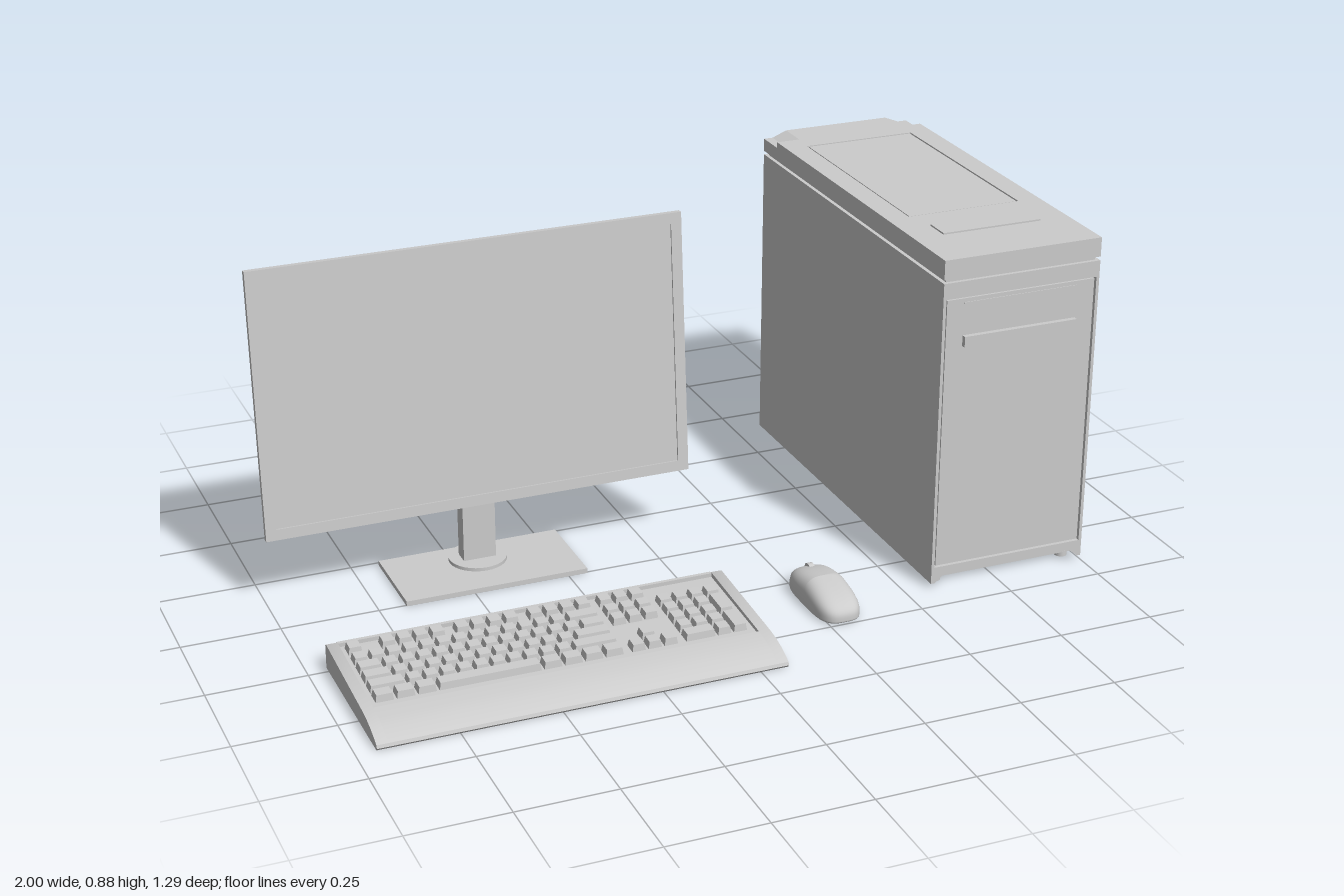
import * as THREE from 'three';
import { toCreasedNormals } from 'three/addons/utils/BufferGeometryUtils.js';

const grey = new THREE.MeshStandardMaterial({ color: 0xcccccc });

function add(parent, name, geometry) {
  const mesh = new THREE.Mesh(geometry, grey);
  mesh.name = name;
  parent.add(mesh);
  return mesh;
}

// Box given by its limits on each axis
function box(parent, name, x0, x1, y0, y1, z0, z1) {
  const mesh = add(parent, name, new THREE.BoxGeometry(x1 - x0, y1 - y0, z1 - z0));
  mesh.position.set((x0 + x1) / 2, (y0 + y1) / 2, (z0 + z1) / 2);
  return mesh;
}

function cylinder(parent, name, radius, x, y0, y1, z) {
  const mesh = add(parent, name, new THREE.CylinderGeometry(radius, radius, y1 - y0, 32));
  mesh.position.set(x, (y0 + y1) / 2, z);
  return mesh;
}

const polygon = (points) => new THREE.Shape(points.map(([x, y]) => new THREE.Vector2(x, y)));
const rect = (x0, x1, y0, y1) => polygon([[x0, y0], [x1, y0], [x1, y1], [x0, y1]]);

// Flat plate along z with rectangular openings
function plate(shape, holes, z0, z1) {
  holes.forEach((h) => shape.holes.push(rect(...h)));
  return new THREE.ExtrudeGeometry(shape, { depth: z1 - z0, bevelEnabled: false }).translate(0, 0, z0);
}

function createMonitor() {
  const monitor = new THREE.Group();
  monitor.name = 'monitor';
  // Display leans back slightly around its lower edge
  const display = new THREE.Group();
  display.name = 'display';
  display.position.set(-0.44, 0.19, -0.112);
  display.rotation.x = -0.08;
  monitor.add(display);
  add(display, 'bezel', plate(rect(-0.56, 0.56, 0, 0.69), [[-0.532, 0.532, 0.028, 0.662]], 0, 0.016));
  box(display, 'screen', -0.534, 0.534, 0.026, 0.664, 0.001, 0.011);
  box(display, 'rearHousing', -0.24, 0.24, 0.06, 0.4, -0.077, 0.002);
  // Stand
  box(monitor, 'standBase', -0.68, -0.2, 0, 0.013, -0.235, 0.005);
  cylinder(monitor, 'standCollar', 0.075, -0.44, 0.01, 0.022, -0.155);
  box(monitor, 'standNeck', -0.483, -0.397, 0.01, 0.32, -0.178, -0.135);
  return monitor;
}

function createTower() {
  const tower = new THREE.Group();
  tower.name = 'tower';
  box(tower, 'case', 0.57, 1, 0.012, 0.82, -0.615, 0.38);

  // Front frame, notched at the bottom, around an inset door
  const front = polygon([[0.57, 0.012], [0.58, 0.012], [0.625, 0.05], [0.945, 0.05], [0.99, 0.012],
    [1, 0.012], [1, 0.82], [0.57, 0.82]]);
  add(tower, 'frontFrame', plate(front, [[0.578, 0.992, 0.056, 0.778]], 0.38, 0.41));
  box(tower, 'frontDoor', 0.582, 0.988, 0.06, 0.774, 0.375, 0.407);
  box(tower, 'driveFlap', 0.628, 0.938, 0.65, 0.678, 0.4, 0.42);
  box(tower, 'doorGroove', 0.628, 0.938, 0.76, 0.764, 0.4, 0.409);

  // Back frame around a sunken panel with a socket near the floor
  const back = rect(0.57, 1, 0.012, 0.82);
  add(tower, 'backFrame', plate(back, [[0.64, 0.932, 0.045, 0.81]], -0.645, -0.615));
  add(tower, 'backPanel', plate(rect(0.635, 0.937, 0.04, 0.815), [[0.71, 0.9, 0.09, 0.195]], -0.63, -0.614));

  // Lid above a narrow shadow gap
  const lid = new THREE.Group();
  lid.name = 'lid';
  tower.add(lid);
  box(lid, 'lidGap', 0.58, 0.99, 0.815, 0.835, -0.635, 0.4);
  box(lid, 'lidBody', 0.57, 1, 0.83, 0.876, -0.56, 0.41);
  const top = plate(rect(0.57, 1, -0.41, 0.56), [[0.63, 0.94, -0.1, 0.5]], 0.876, 0.88);
  add(lid, 'lidTop', top.rotateX(-Math.PI / 2));
  box(lid, 'lidInset', 0.634, 0.936, 0.87, 0.879, -0.496, 0.096);
  box(lid, 'lidButtonBar', 0.65, 0.92, 0.875, 0.884, 0.178, 0.248);
  // Rear end drops at both corners
  const rear = polygon([[0.57, 0.83], [1, 0.83], [1, 0.864], [0.975, 0.864], [0.935, 0.88],
    [0.635, 0.88], [0.595, 0.864], [0.57, 0.864]]);
  add(lid, 'lidRear', plate(rear, [], -0.645, -0.56));

  for (const x of [0.602, 0.968]) {
    for (const z of [-0.605, 0.365]) cylinder(tower, 'foot', 0.016, x, 0, 0.015, z);
  }
  return tower;
}

// Side profile (z, y) swept along x
function sweep(parent, name, profile, x0, x1) {
  const geometry = plate(polygon(profile), [], 0, x1 - x0);
  geometry.rotateY(-Math.PI / 2).translate(x1, 0, 0);
  return add(parent, name, toCreasedNormals(geometry, 0.5));
}

function createKeyboard() {
  const keyboard = new THREE.Group();
  keyboard.name = 'keyboard';
  const rest = [[0.23, 0], [0.64, 0], [0.645, 0.006], [0.642, 0.014], [0.63, 0.021],
    [0.6, 0.033], [0.57, 0.041], [0.53, 0.046]];
  sweep(keyboard, 'body', [...rest, [0.525, 0.037], [0.24, 0.054], [0.23, 0.054]], -0.922, 0.042);
  for (const [x0, x1] of [[-0.95, -0.922], [0.042, 0.07]]) {
    sweep(keyboard, 'sideRail', [...rest, [0.24, 0.066], [0.23, 0.062]], x0, x1);
  }
  box(keyboard, 'rearRail', -0.922, 0.042, 0.04, 0.064, 0.23, 0.24);

  // Tapered keys; widths in units, negative widths are gaps
  const unit = 0.0413;
  const gap = 0.007;
  const rowZ = [0.268, 0.317, 0.359, 0.401, 0.443, 0.485];
  const key = (x, z, w, d) => {
    const geometry = new THREE.BoxGeometry(w, 0.018, d);
    const p = geometry.attributes.position;
    for (let i = 0; i < p.count; i++) {
      if (p.getY(i) > 0) p.setXYZ(i, p.getX(i) - Math.sign(p.getX(i)) * 0.003, p.getY(i), p.getZ(i) - Math.sign(p.getZ(i)) * 0.003);
    }
    geometry.computeVertexNormals();
    const mesh = add(keyboard, 'key', geometry);
    mesh.position.set(x, 0.053 + (0.525 - z) * 0.06 - 0.006, z);
    mesh.rotation.x = 0.06;
  };
  const row = (x, z, widths) => {
    for (const w of widths) {
      const size = Math.abs(w) * unit;
      if (w > 0) key(x + size / 2, z, size - gap, 0.035);
      x += size;
    }
  };
  const ones = (n) => Array(n).fill(1);
  [
    [1, -1, ...ones(4), -0.5, ...ones(4), -0.5, ...ones(4)],
    [...ones(13), 2],
    [1.5, ...ones(12), 1.5],
    [1.75, ...ones(11), 2.25],
    [2.25, ...ones(10), 2.75],
    [1.25, 1.25, 1.25, 6.25, 1.25, 1.25, 1.25, 1.25],
  ].forEach((widths, i) => row(-0.912, rowZ[i], widths));
  [ones(3), ones(3), ones(3), [], [-1, 1], ones(3)].forEach((widths, i) => row(-0.277, rowZ[i], widths));
  [[], ones(4), ones(3), ones(3), ones(3), [2, 1]].forEach((widths, i) => row(-0.138, rowZ[i], widths));
  for (const i of [2, 4]) {
    key(-0.138 + 3.5 * unit, (rowZ[i] + rowZ[i + 1]) / 2, unit - gap, 0.077);
  }
  return keyboard;
}

function createMouse() {
  const mouse = new THREE.Group();
  mouse.name = 'mouse';
  mouse.position.set(0.29, 0, 0.375);
  // Rounded block with a flat base, a slight waist and a sloping back
  const geometry = new THREE.SphereGeometry(1, 48, 40);
  const p = geometry.attributes.position;
  const v = new THREE.Vector3();
  for (let i = 0; i < p.count; i++) {
    v.fromBufferAttribute(p, i);
    const n = 3.2;
    v.divideScalar((Math.abs(v.x) ** n + Math.abs(v.y) ** n + Math.abs(v.z) ** n) ** (1 / n));
    const height = 0.066 - 0.024 * Math.max(0, v.z) - 0.014 * Math.max(0, -v.z);
    const width = 0.058 + 0.004 * v.z * v.z;
    p.setXYZ(i, v.x * width, v.y > 0 ? 0.01 + v.y * height : Math.max(0, 0.01 + v.y * 0.014), v.z * 0.125);
  }
  geometry.computeVertexNormals();
  add(mouse, 'shell', geometry);
  const wheel = add(mouse, 'scrollWheel', new THREE.CylinderGeometry(0.018, 0.018, 0.014, 24));
  wheel.rotation.z = Math.PI / 2;
  wheel.position.set(0, 0.05, -0.085);
  return mouse;
}

export function createModel() {
  const model = new THREE.Group();
  model.name = 'desktopComputer';
  model.add(createMonitor(), createTower(), createKeyboard(), createMouse());
  return model;
}
